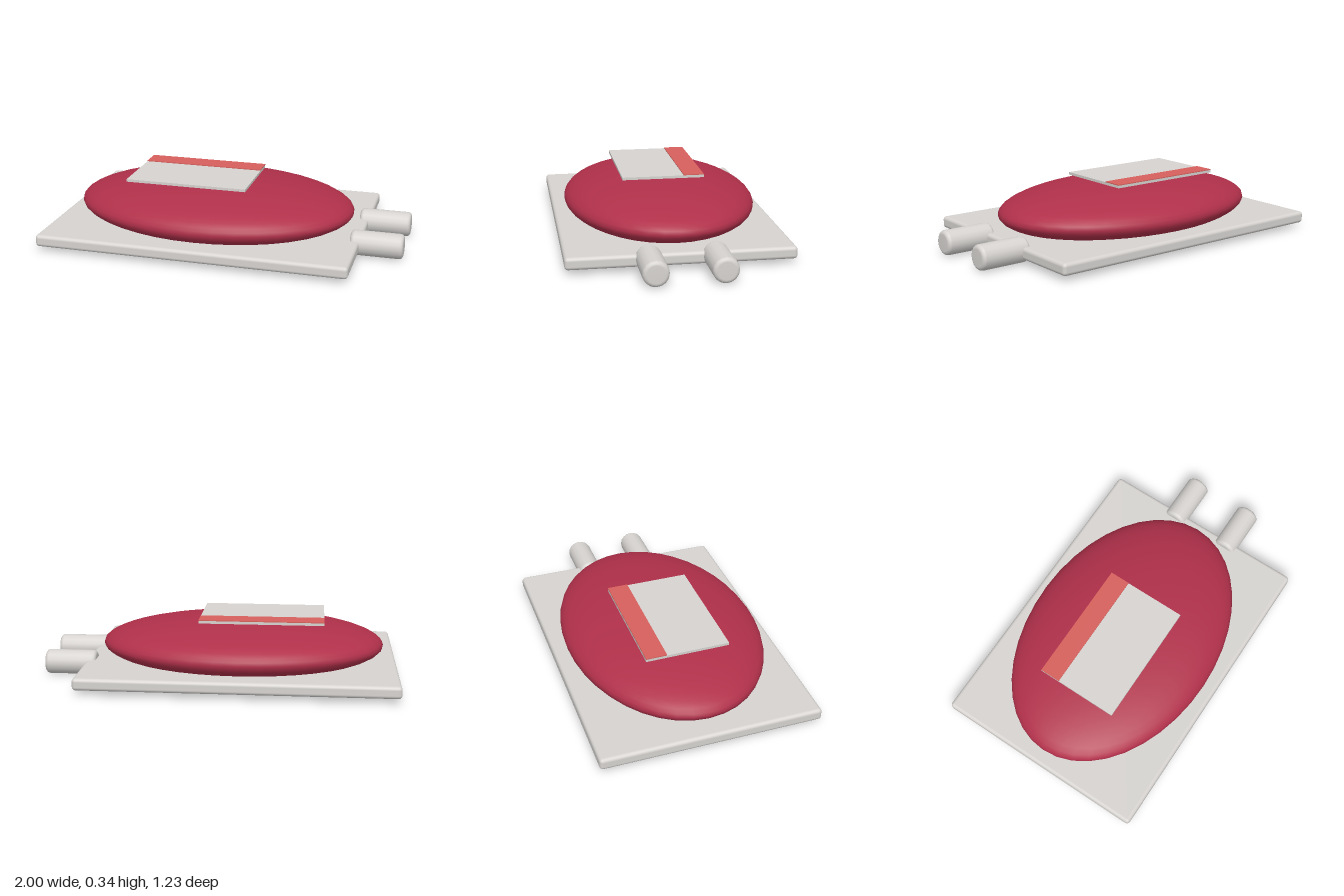
import * as THREE from 'three';
import { RoundedBoxGeometry } from 'three/addons/geometries/RoundedBoxGeometry.js';

const material = (name, color) => {
  const m = new THREE.MeshStandardMaterial({ color });
  m.name = name;
  return m;
};

export function createModel() {
  const group = new THREE.Group();
  const grey = material('pale grey', 0xd6d3d0);
  const red = material('deep red', 0xb0304a);
  const coral = material('coral red', 0xd6605c);

  const add = (name, geometry, mat, x, y, z) => {
    const mesh = new THREE.Mesh(geometry, mat);
    mesh.name = name;
    mesh.position.set(x, y, z);
    group.add(mesh);
    return mesh;
  };

  // Flat backing sheet with softened edges
  add('backingSheet', new RoundedBoxGeometry(1.76, 0.068, 1.23, 3, 0.02), grey, -0.12, 0.062, 0);

  // Filled pouch: a flattened ellipsoid that bulges through the sheet
  const pouch = new THREE.SphereGeometry(1, 40, 24).scale(0.81, 0.153, 0.55);
  add('pouch', pouch, red, -0.12, 0.167, 0);

  // Two port tubes with rounded ends, lying along x
  const r = 0.07, half = 0.147, bevel = 0.022;
  const profile = [new THREE.Vector2(0, -half)];
  for (const side of [-1, 1]) {
    for (let i = 0; i <= 4; i++) {
      const a = (side < 0 ? i - 4 : i) * Math.PI / 8;
      profile.push(new THREE.Vector2(
        r - bevel + bevel * Math.cos(a),
        side * (half - bevel) + bevel * Math.sin(a)));
    }
  }
  profile.push(new THREE.Vector2(0, half));
  const port = new THREE.LatheGeometry(profile, 16);
  for (const side of [-1, 1]) {
    const mesh = add(side > 0 ? 'frontPort' : 'backPort', port, grey, 0.853, 0.07, side * 0.178);
    mesh.rotation.z = -Math.PI / 2;
  }

  // Label card with a coloured header strip along its back edge
  add('label', new THREE.BoxGeometry(0.702, 0.015, 0.47), grey, -0.238, 0.332, 0);
  add('labelStrip', new THREE.BoxGeometry(0.702, 0.005, 0.117), coral, -0.238, 0.342, -0.1765);

  return group;
}
